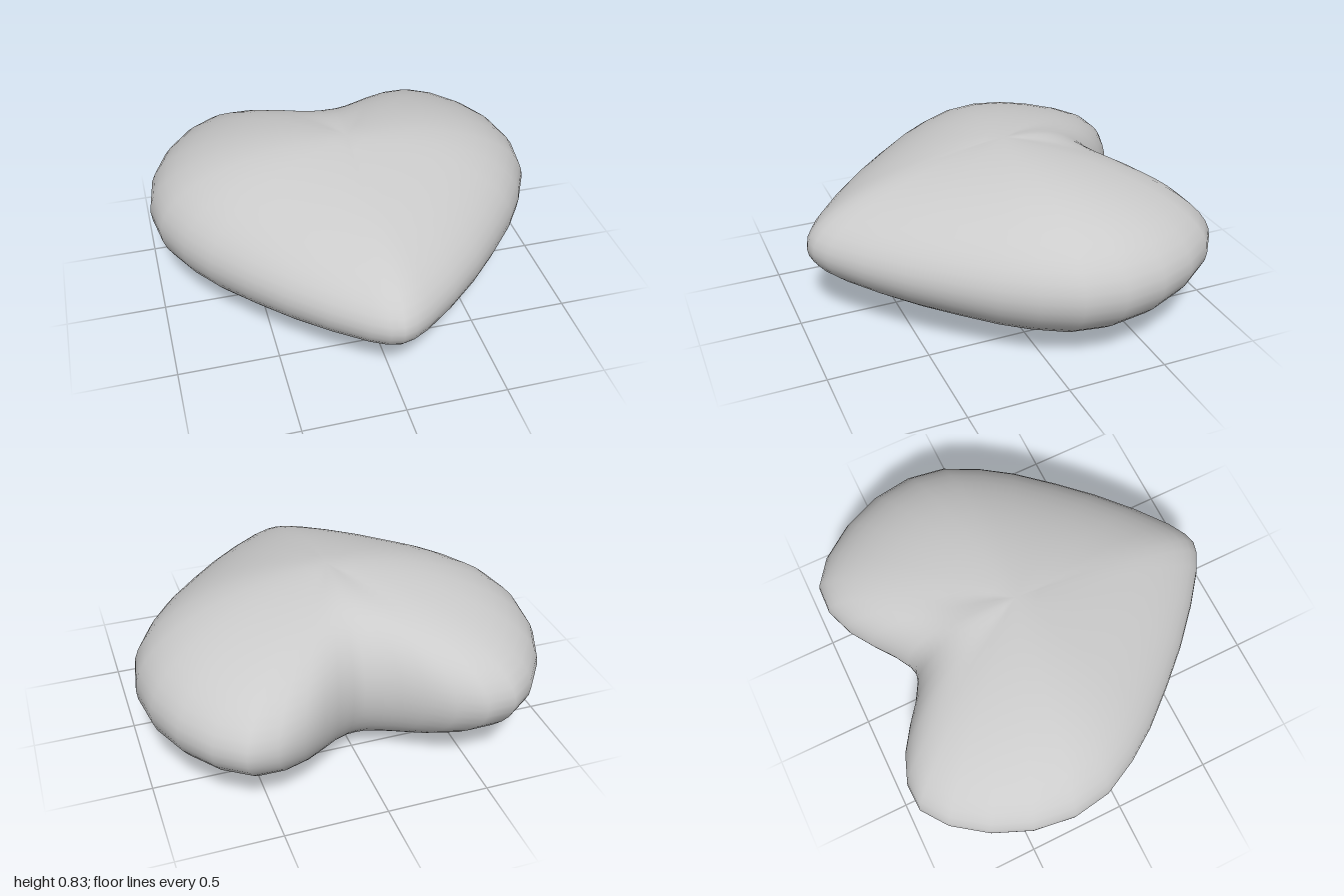
import * as THREE from 'three';

// Half outline seen from above, cleft to tip: x, z, fullness of the dome in that direction
const HALF = [
  [0, -0.67, 2.9], [0.06, -0.685, 2.7], [0.155, -0.74, 2.3], [0.245, -0.81, 1.95], [0.365, -0.89, 1.7],
  [0.5, -0.94, 1.6], [0.64, -0.935, 1.65], [0.77, -0.84, 1.8], [0.89, -0.675, 2.0], [0.97, -0.485, 2.2],
  [1, -0.275, 2.3], [0.97, -0.08, 2.25], [0.88, 0.1, 2.1], [0.775, 0.255, 1.95], [0.625, 0.43, 1.75],
  [0.47, 0.595, 1.6], [0.3, 0.75, 1.45], [0.14, 0.875, 1.32], [0.06, 0.92, 1.28], [0, 0.935, 1.25],
];
const CENTRE_Z = -0.1;
const HALF_HEIGHT = 0.415;
const RINGS = 28;

// Scaled copies of the outline, lofted from the top pole over the rim to the bottom pole
function heartGeometry() {
  const outline = [...HALF, ...HALF.slice(1, -1).reverse().map(([x, z, p]) => [-x, z, p])];
  const n = outline.length;
  const positions = [0, 2 * HALF_HEIGHT, CENTRE_Z];
  const index = [];
  for (let j = 1; j < RINGS; j++) {
    const t = (j / RINGS) * Math.PI;
    const s = Math.sin(t);
    for (const [x, z, p] of outline) {
      const h = HALF_HEIGHT * Math.sqrt(Math.max(0, 1 - s ** p)) * Math.sign(RINGS / 2 - j);
      positions.push(x * s, HALF_HEIGHT + h, CENTRE_Z + (z - CENTRE_Z) * s);
    }
  }
  positions.push(0, 0, CENTRE_Z);
  const bottom = positions.length / 3 - 1;
  const at = (j, i) => 1 + (j - 1) * n + (i % n);
  for (let i = 0; i < n; i++) {
    index.push(0, at(1, i + 1), at(1, i));
    for (let j = 1; j < RINGS - 1; j++) {
      const a = at(j, i), a2 = at(j, i + 1), b = at(j + 1, i), b2 = at(j + 1, i + 1);
      index.push(a, a2, b, a2, b2, b);
    }
    index.push(bottom, at(RINGS - 1, i), at(RINGS - 1, i + 1));
  }
  const geometry = new THREE.BufferGeometry();
  geometry.setAttribute('position', new THREE.Float32BufferAttribute(positions, 3));
  geometry.setIndex(index);
  geometry.computeVertexNormals();
  return geometry;
}

export function createModel() {
  const group = new THREE.Group();
  group.name = 'heart';
  const body = new THREE.Mesh(heartGeometry(), new THREE.MeshStandardMaterial({ color: 0xcccccc }));
  body.name = 'heartBody';
  group.add(body);
  return group;
}
